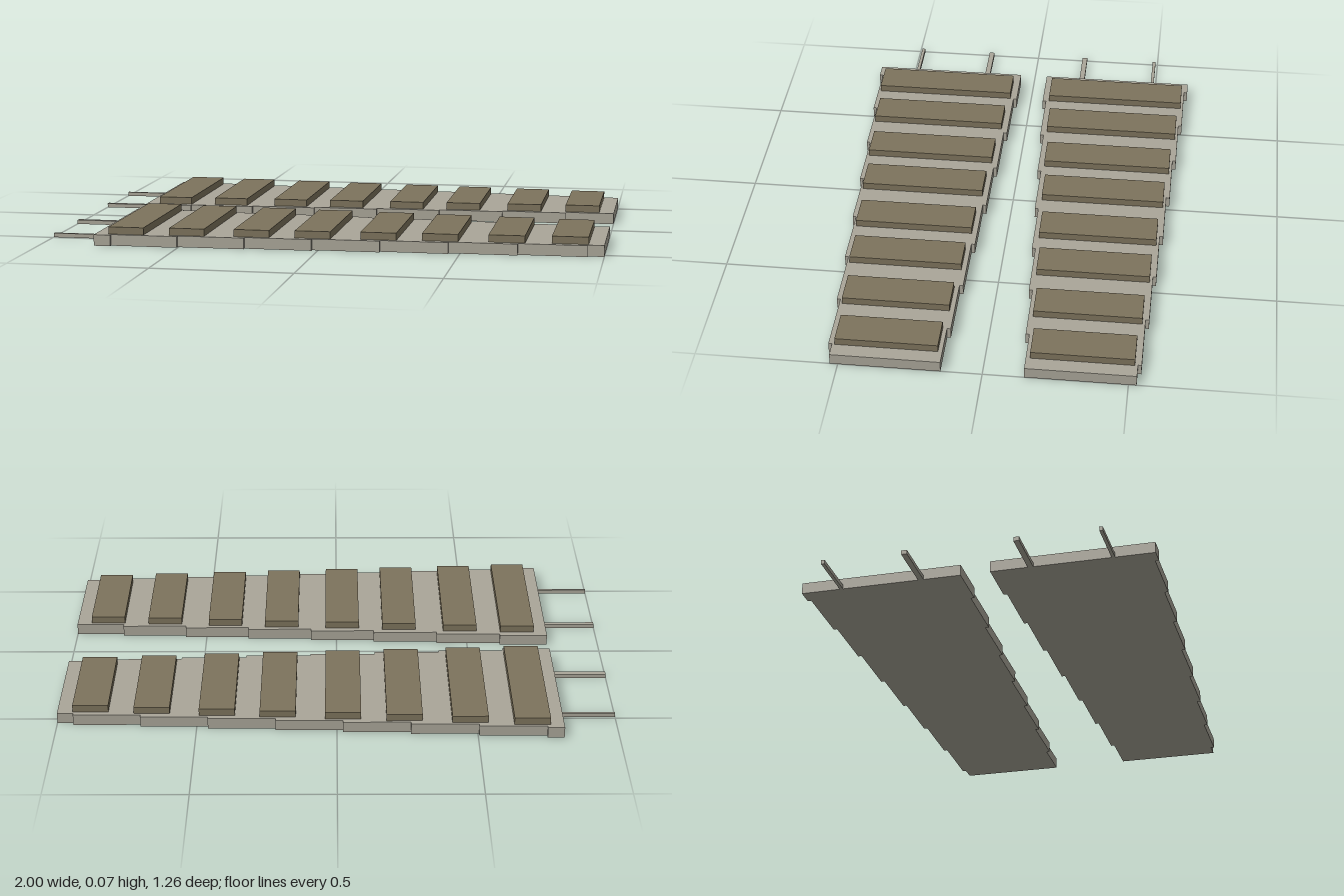
import * as THREE from 'three';

const SLAB_HEIGHT = 0.04;
const STEP = 0.013; // sideways taper per step
const PITCH = 0.241; // length of each step

function box(name, material, x0, x1, y0, y1, z0, z1) {
  const mesh = new THREE.Mesh(new THREE.BoxGeometry(x1 - x0, y1 - y0, z1 - z0), material);
  mesh.position.set((x0 + x1) / 2, (y0 + y1) / 2, (z0 + z1) / 2);
  mesh.name = name;
  return mesh;
}

// Stepped, tapering plate outline; shape y is the distance from the centre line
function slabOutline() {
  const points = [];
  let x = -0.805;
  for (let k = 0; k <= 7; k++) {
    const z = 0.053 + STEP * k;
    const end = k === 7 ? 1 : -0.625 + PITCH * k;
    points.push(new THREE.Vector2(x, z), new THREE.Vector2(end, z));
    x = end;
  }
  for (let k = 8; k >= 0; k--) {
    const z = 0.632 - STEP * k;
    const end = k === 0 ? -0.805 : -0.745 + PITCH * (k - 1);
    points.push(new THREE.Vector2(x, z), new THREE.Vector2(end, z));
    x = end;
  }
  return points;
}

function createStrip(side, stone, wood) {
  const strip = new THREE.Group();
  strip.name = side > 0 ? 'frontStrip' : 'backStrip';

  // base slab, extruded upwards
  const outline = slabOutline().map((p) => new THREE.Vector2(p.x, -side * p.y));
  const geometry = new THREE.ExtrudeGeometry(new THREE.Shape(outline), {
    depth: SLAB_HEIGHT,
    bevelEnabled: false,
  });
  geometry.rotateX(-Math.PI / 2);
  const slab = new THREE.Mesh(geometry, stone);
  slab.name = 'slab';
  strip.add(slab);

  // raised cross pads, narrowing with the slab
  const centres = [-0.692, -0.473, -0.24, -0.022, 0.211, 0.428, 0.661, 0.881];
  centres.forEach((x, i) => {
    const t = (x - centres[0]) / (centres[7] - centres[0]);
    const a = side * (0.079 + 0.08 * t);
    const b = side * (0.609 - 0.091 * t);
    strip.add(box(`pad${i + 1}`, wood, x - 0.064, x + 0.064, SLAB_HEIGHT, 0.066,
      Math.min(a, b), Math.max(a, b)));
  });

  // connecting rods at the wide end
  for (const [name, z, width] of [['innerRod', 0.196, 0.02], ['outerRod', 0.486, 0.012]]) {
    strip.add(box(name, stone, -1, -0.805, 0, 0.015, side * z - width / 2, side * z + width / 2));
  }
  return strip;
}

export function createModel() {
  const stone = new THREE.MeshStandardMaterial({ color: 0xaaa699 });
  stone.name = 'pale grey';
  const wood = new THREE.MeshStandardMaterial({ color: 0x7d735c });
  wood.name = 'olive brown';

  const model = new THREE.Group();
  model.name = 'taperedStrips';
  for (const side of [1, -1]) model.add(createStrip(side, stone, wood));
  return model;
}
